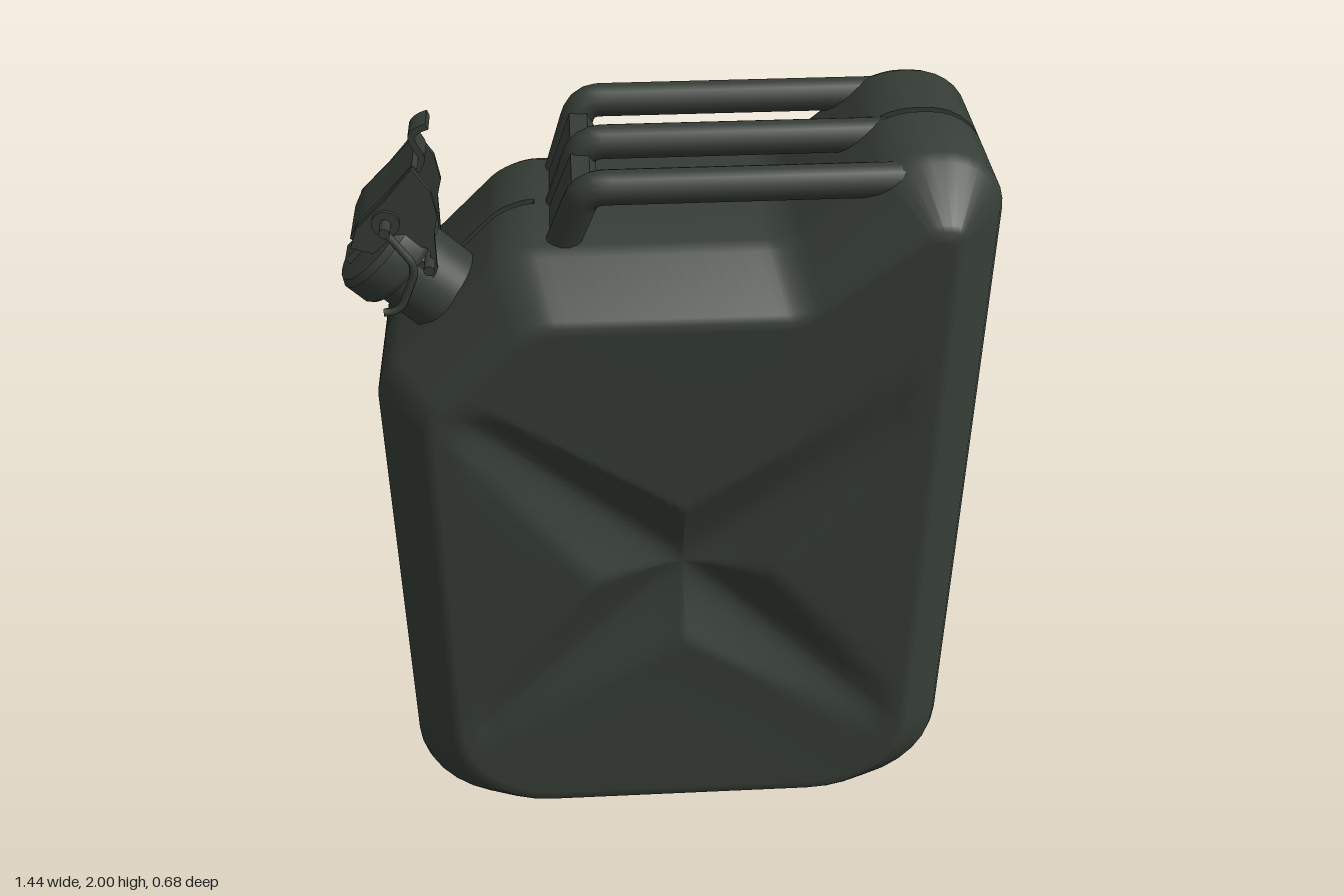
import * as THREE from 'three';
import { toCreasedNormals } from 'three/addons/utils/BufferGeometryUtils.js';

const V2 = (x, y) => new THREE.Vector2(x, y);
const V3 = (x, y, z) => new THREE.Vector3(x, y, z);
const CENTRE = V2(0.03, 0.88);
const SPOUT_Z = 0.11;

// Rounded polygon with a fixed sample count: corners are [x, y, trim length]
function outline(corners, arc = 8, straight = 18) {
  const n = corners.length, pts = [];
  const at = (i) => V2(...corners[(i + n) % n]);
  const w = 0.72;
  for (let i = 0; i < n; i++) {
    const p = at(i), trim = corners[i][2];
    const a = p.clone().add(at(i - 1).sub(p).setLength(trim));
    const b = p.clone().add(at(i + 1).sub(p).setLength(trim));
    for (let k = 0; k <= arc; k++) {
      const t = k / arc, q = [(1 - t) ** 2, 2 * w * t * (1 - t), t * t];
      const sum = q[0] + q[1] + q[2];
      pts.push(V2((q[0] * a.x + q[1] * p.x + q[2] * b.x) / sum, (q[0] * a.y + q[1] * p.y + q[2] * b.y) / sum));
    }
    const next = at(i + 1);
    const c = next.clone().add(p.clone().sub(next).setLength(corners[(i + 1) % n][2]));
    for (let k = 1; k < straight; k++) pts.push(b.clone().lerp(c, k / straight));
  }
  return pts;
}

// Pressed cross: V-shaped channels that widen and deepen toward the middle
const ARMS = [V2(-0.47, 1.37), V2(0.5, 1.35), V2(-0.47, 0.39), V2(0.54, 0.39)];
function pressDepth(p, t) {
  let channel = 0;
  for (const end of ARMS) {
    const d = end.clone().sub(CENTRE), r = p.clone().sub(CENTRE);
    const u = THREE.MathUtils.clamp(r.dot(d) / d.lengthSq(), 0, 1);
    const s = r.sub(d.multiplyScalar(u)).length();
    const rise = 1 - Math.hypot(u, 0.1);
    const wall = Math.max(0, 1.04 - Math.hypot(s / (0.06 + 0.11 * rise), 0.2));
    channel = Math.max(channel, wall * (0.018 + 0.075 * rise));
  }
  // upper and lower panels fall gently toward the middle
  const off = p.clone().sub(CENTRE);
  const slope = 0.025 * Math.max(0, 1 - t) * (off.y / (off.length() + 0.1)) ** 2;
  return slope + channel * (1 - THREE.MathUtils.smoothstep(t, 0.85, 0.98));
}

function bodyGeometry() {
  const outer = outline([[-0.66, 0, 0.26], [0.718, 0, 0.26], [0.718, 1.93, 0.14], [0.488, 1.93, 0.06],
    [0.25, 1.73, 0.04], [-0.35, 1.73, 0.06], [-0.66, 1.42, 0.07]]);
  const inner = outline([[-0.55, 0.12, 0.24], [0.603, 0.12, 0.24], [0.603, 1.82, 0.022], [0.55, 1.82, 0.02],
    [0.29, 1.61, 0.04], [-0.3, 1.61, 0.05], [-0.545, 1.37, 0.05]]);
  const half = [], STEPS = 34;
  for (let i = 0; i <= STEPS; i++) {
    const t = i / STEPS;
    half.push(inner.map((p) => {
      const q = CENTRE.clone().lerp(p, t);
      return V3(q.x, q.y, 0.34 - pressDepth(q, t));
    }));
  }
  // chamfer with softened edges, side wall, seam groove (closed under the handle)
  const mix = (f, z) => outer.map((p, j) => V3(p.x + (inner[j].x - p.x) * f, p.y + (inner[j].y - p.y) * f, z));
  half.push(mix(0.9, 0.329), mix(0.1, 0.222), mix(0, 0.195), mix(0, 0.01));
  half.push(outer.map((p) => {
    const f = p.y > 1.6 && p.x > -0.3 && p.x < 0.48 ? 1 : 0.98;
    return V3(CENTRE.x + (p.x - CENTRE.x) * f, CENTRE.y + (p.y - CENTRE.y) * f, 0.01);
  }));
  const rings = half.concat(half.slice().reverse().map((r) => r.map((p) => V3(p.x, p.y, -p.z))));
  const n = outer.length, pos = [], idx = [];
  rings.forEach((r) => r.forEach((p) => pos.push(p.x, p.y, p.z)));
  for (let i = 0; i < rings.length - 1; i++) {
    for (let j = 0; j < n; j++) {
      const a = i * n + j, b = i * n + (j + 1) % n, c = b + n, d = a + n;
      if (i < rings.length - 2) idx.push(a, d, c);
      if (i > 0) idx.push(a, c, b);
    }
  }
  const g = new THREE.BufferGeometry();
  g.setAttribute('position', new THREE.Float32BufferAttribute(pos, 3));
  g.setIndex(idx);
  return toCreasedNormals(g, 1.0);
}

// Tube along a polyline with softly rounded bends
function rod(points, radius, bend = 0.04, sides = 14) {
  const path = new THREE.CurvePath();
  let from = points[0];
  for (let i = 1; i < points.length - 1; i++) {
    const p = points[i];
    const a = p.clone().add(points[i - 1].clone().sub(p).setLength(bend));
    const b = p.clone().add(points[i + 1].clone().sub(p).setLength(bend));
    path.add(new THREE.LineCurve3(from, a));
    path.add(new THREE.QuadraticBezierCurve3(a, p, b));
    from = b;
  }
  path.add(new THREE.LineCurve3(from, points[points.length - 1]));
  return new THREE.TubeGeometry(path, 48, radius, sides);
}

// Flat shape in xy given a thickness centred on z
function plate(points, depth, z, holes = []) {
  const shape = new THREE.Shape(points.map((p) => V2(...p)));
  holes.forEach(([x, y, r]) => shape.holes.push(new THREE.Path().absarc(x, y, r, 0, Math.PI * 2, true)));
  const g = new THREE.ExtrudeGeometry(shape, { depth, bevelEnabled: false, curveSegments: 10 });
  return toCreasedNormals(g.translate(0, 0, z - depth / 2), 0.5);
}

// Bent sheet strip following a smooth path
function strip(points, thick, width, z) {
  const curve = new THREE.SplineCurve(points.map((p) => V2(...p)));
  const left = [], right = [];
  for (let i = 0; i <= 20; i++) {
    const p = curve.getPoint(i / 20), t = curve.getTangent(i / 20).multiplyScalar(thick / 2);
    left.push([p.x - t.y, p.y + t.x]);
    right.unshift([p.x + t.y, p.y - t.x]);
  }
  return plate(left.concat(right), width, z);
}

export function createModel() {
  const model = new THREE.Group();
  const paint = new THREE.MeshStandardMaterial({ color: 0x363d36 });
  paint.name = 'dark olive paint';
  const add = (name, geometry, parent = model) => {
    const m = new THREE.Mesh(geometry, paint);
    m.name = name;
    parent.add(m);
    return m;
  };

  add('body', bodyGeometry());

  // Three carrying bars, the outer two leaning inward at the foot
  const handle = new THREE.Group();
  handle.name = 'handle';
  model.add(handle);
  for (const s of [-1, 0, 1]) {
    add('handleBar', rod([V3(0.5, 1.873, s * 0.203), V3(-0.175, 1.873, s * 0.203), V3(-0.235, 1.7, s * 0.155)], 0.038), handle);
  }
  add('handleFoot', plate([[-0.26, 1.72], [-0.192, 1.72], [-0.15, 1.83], [-0.165, 1.86], [-0.205, 1.86]], 0.33, 0), handle);

  // Spout along the sloping shoulder, built upright then tilted
  const spout = new THREE.Group();
  spout.name = 'spout';
  spout.position.set(-0.495, 1.575, SPOUT_Z);
  spout.rotation.z = Math.PI / 4;
  model.add(spout);
  const turned = (pts) => toCreasedNormals(new THREE.LatheGeometry(pts.map((p) => V2(...p)), 32), 0.6);
  add('neck', turned([[0.1, -0.08], [0.1, 0.13]]), spout);
  add('cap', turned([[0.09, 0.115], [0.118, 0.12], [0.126, 0.132], [0.126, 0.185], [0.115, 0.2], [0.06, 0.207], [0, 0.207]]), spout);
  add('capRib', new THREE.BoxGeometry(0.15, 0.02, 0.06).translate(0, 0.21, 0), spout);

  // Locking lever: side cheeks, bent cover strip and thumb hook
  const lever = new THREE.Group();
  lever.name = 'lever';
  model.add(lever);
  const cheek = [[-0.68, 1.74], [-0.665, 1.785], [-0.6, 1.85], [-0.535, 1.925], [-0.5, 1.87], [-0.49, 1.81],
    [-0.5, 1.77], [-0.5, 1.68], [-0.53, 1.62], [-0.56, 1.6], [-0.585, 1.67], [-0.62, 1.72]];
  for (const s of [-1, 1]) {
    const z = SPOUT_Z + s * 0.08;
    add('leverCheek', plate(cheek, 0.014, z, [[-0.53, 1.72, 0.018]]), lever);
    add('pivotBoss', new THREE.CylinderGeometry(0.03, 0.03, 0.03, 20).rotateX(Math.PI / 2).translate(-0.6, 1.8, z), lever);
    // wire clip beside the neck
    const w = SPOUT_Z + s * 0.125;
    add('wireClip', rod([V3(-0.6, 1.8, w), V3(-0.54, 1.71, w), V3(-0.585, 1.6, w), V3(-0.62, 1.6, w)], 0.009, 0.03, 8), lever);
  }
  add('pivotPin', new THREE.CylinderGeometry(0.012, 0.012, 0.27, 12).rotateX(Math.PI / 2).translate(-0.6, 1.8, SPOUT_Z), lever);
  add('lowerPin', new THREE.CylinderGeometry(0.012, 0.012, 0.25, 12).rotateX(Math.PI / 2).translate(-0.515, 1.7, SPOUT_Z), lever);
  add('leverCover', strip([[-0.675, 1.75], [-0.65, 1.795], [-0.59, 1.855], [-0.53, 1.92]], 0.014, 0.14, SPOUT_Z), lever);
  add('thumbHook', strip([[-0.53, 1.89], [-0.517, 1.92], [-0.53, 1.95], [-0.535, 1.97], [-0.52, 1.985], [-0.5, 1.993]], 0.014, 0.065, SPOUT_Z), lever);
  return model;
}
